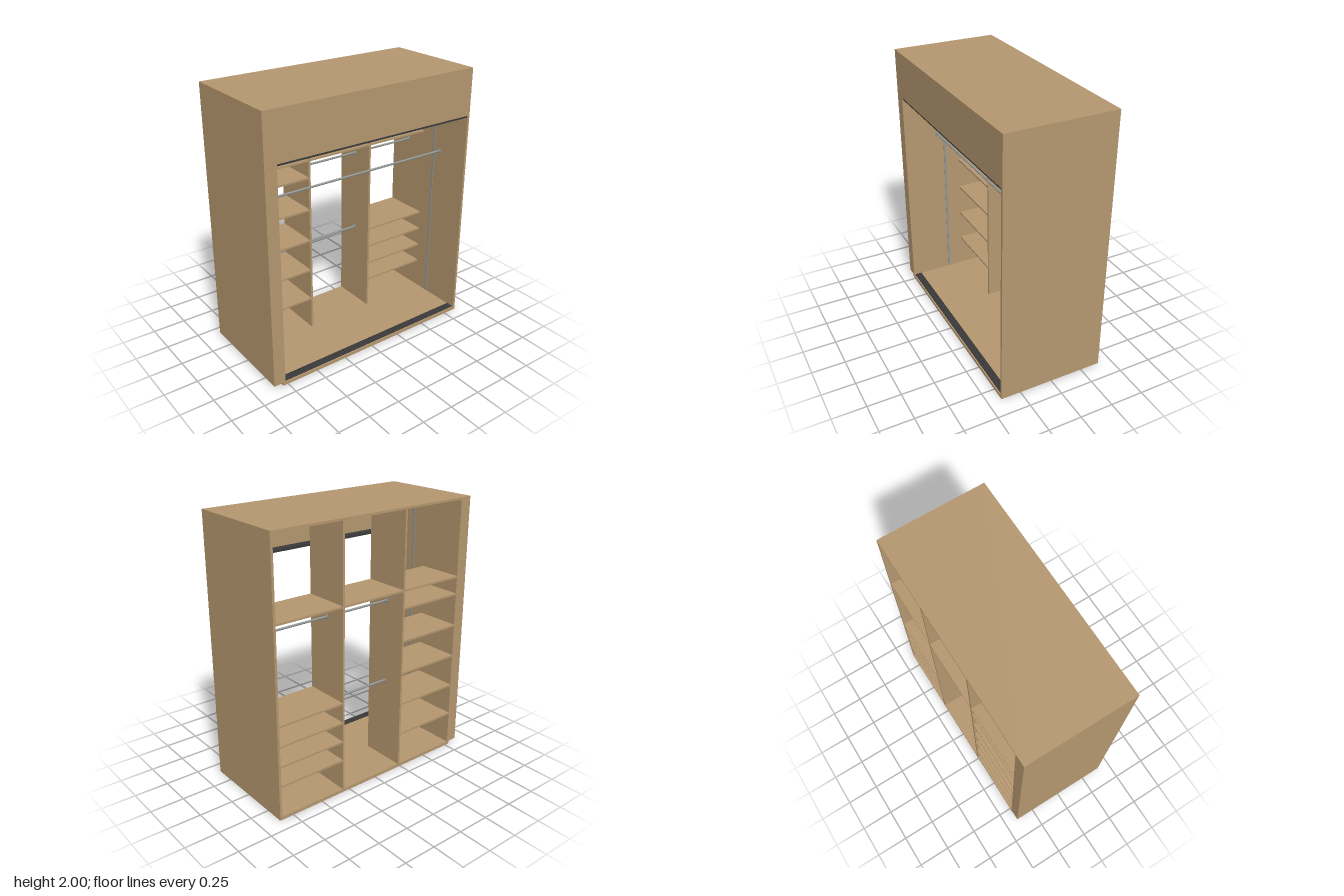
import * as THREE from 'three';

const wood = new THREE.MeshStandardMaterial({ color: 0xb5976f });
wood.name = 'wood';
const metal = new THREE.MeshStandardMaterial({ color: 0x8f9694 });
metal.name = 'brushedMetal';
const dark = new THREE.MeshStandardMaterial({ color: 0x3b3b3c });
dark.name = 'darkTrack';

export function createModel() {
  const model = new THREE.Group();
  model.name = 'slidingWardrobe';

  // Box given by its limits on each axis
  function board(name, [x0, x1], [y0, y1], [z0, z1], material = wood) {
    const mesh = new THREE.Mesh(new THREE.BoxGeometry(x1 - x0, y1 - y0, z1 - z0), material);
    mesh.position.set((x0 + x1) / 2, (y0 + y1) / 2, (z0 + z1) / 2);
    mesh.name = name;
    model.add(mesh);
  }

  // Hanging rail along z with a round flange at each end
  function rail(name, x, y, z0, z1) {
    const group = new THREE.Group();
    group.name = name;
    const cylinder = (part, radius, length, z) => {
      const geometry = new THREE.CylinderGeometry(radius, radius, length, 20).rotateX(Math.PI / 2);
      const mesh = new THREE.Mesh(geometry, metal);
      mesh.position.set(x, y, z);
      mesh.name = part;
      group.add(mesh);
    };
    cylinder('rod', 0.008, z1 - z0, (z0 + z1) / 2);
    cylinder('flange', 0.019, 0.006, z0 + 0.003);
    cylinder('flange', 0.019, 0.006, z1 - 0.003);
    cylinder('collar', 0.012, 0.014, z0 + 0.01);
    cylinder('collar', 0.012, 0.014, z1 - 0.01);
    model.add(group);
  }

  const full = [-0.4, 0.4];
  const inner = [-0.4, -0.05];
  const floor = 0.025, ceiling = 1.984;

  // Carcass
  board('basePanel', full, [0, floor], [-0.86, 0.788]);
  board('topPanel', full, [ceiling, 2], [-0.86, 0.86]);
  board('rightSidePanel', full, [floor, ceiling], [-0.86, -0.842]);
  board('leftSidePanel', full, [floor, ceiling], [0.77, 0.788]);
  board('sideFiller', full, [floor, ceiling], [0.788, 0.86]);
  board('header', [0.384, 0.4], [1.65, ceiling], [-0.842, 0.77]);

  // Dividers
  for (const z of [0.236, -0.307])
    board('divider', inner, [floor, ceiling], [z - 0.008, z + 0.008]);

  // Shelves for each bay
  const bays = [
    { z: [0.244, 0.77], heights: [0.28, 0.528, 0.778, 1.028, 1.278, 1.412] },
    { z: [-0.299, 0.228], heights: [1.412] },
    { z: [-0.842, -0.315], heights: [0.26, 0.41, 0.56, 0.71, 1.412] },
  ];
  for (const bay of bays)
    for (const y of bay.heights) board('shelf', inner, [y - 0.007, y + 0.007], bay.z);

  // Hanging rails
  rail('frontRail', 0.13, 1.3, -0.842, 0.77);
  rail('upperRail', -0.225, 1.3, ...bays[1].z);
  rail('lowerRail', -0.225, 0.67, ...bays[1].z);
  rail('sideBayRail', -0.225, 1.3, ...bays[2].z);

  // Upright strips on the inside of both side panels
  board('uprightStrip', [0.06, 0.078], [floor, ceiling], [0.766, 0.77], metal);
  board('uprightStrip', [0.06, 0.078], [floor, ceiling], [-0.842, -0.838], metal);

  // Ribbed sliding-door tracks
  const run = [-0.842, 0.77];
  board('upperTrack', [0.32, 0.396], [1.649, 1.655], run, dark);
  for (const x of [0.32, 0.356, 0.392])
    board('upperTrackRib', [x, x + 0.004], [1.635, 1.649], run, dark);
  board('lowerTrack', [0.335, 0.39], [floor, floor + 0.002], run, dark);
  for (const x of [0.335, 0.35, 0.371, 0.386])
    board('lowerTrackRib', [x, x + 0.004], [floor + 0.002, floor + 0.006], run, dark);

  return model;
}
